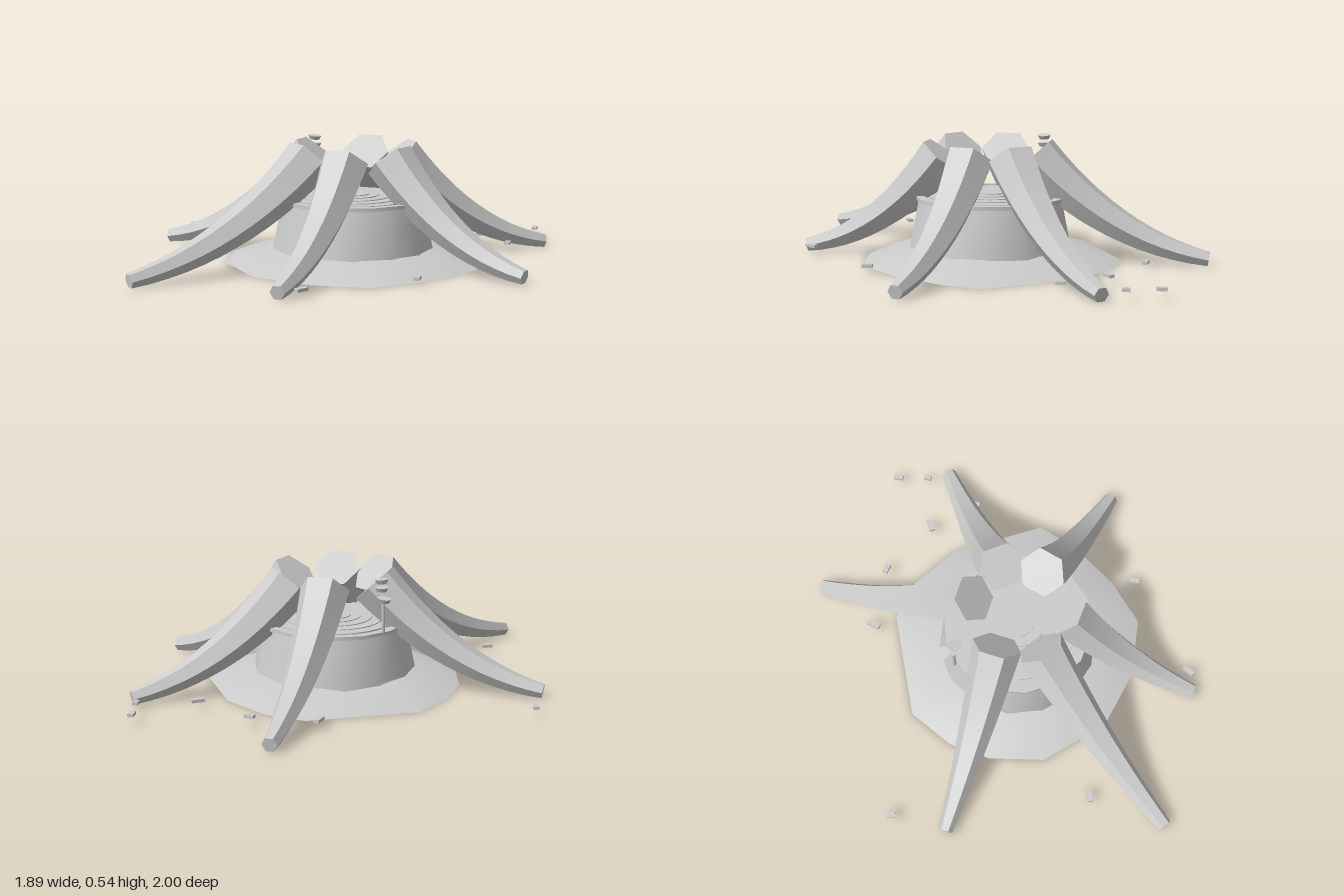
import * as THREE from 'three';
import { toCreasedNormals } from 'three/addons/utils/BufferGeometryUtils.js';

const V = (x, y, z) => new THREE.Vector3(x, y, z);
const HUB_X = 0.065, HUB_Z = -0.03;

// Closed solid through a list of equally sized rings, with end caps
function loft(rings, crease = 0.6) {
  const pos = [];
  const tri = (...pts) => pts.forEach(p => pos.push(p.x, p.y, p.z));
  const n = rings[0].length;
  for (let j = 0; j < rings.length - 1; j++) {
    for (let i = 0; i < n; i++) {
      const k = (i + 1) % n, lo = rings[j], hi = rings[j + 1];
      tri(lo[i], hi[i], lo[k]);
      tri(lo[k], hi[i], hi[k]);
    }
  }
  const mid = r => r.reduce((s, p) => s.add(p), V(0, 0, 0)).divideScalar(n);
  const first = rings[0], last = rings[rings.length - 1];
  const c0 = mid(first), c1 = mid(last);
  for (let i = 0; i < n; i++) {
    const k = (i + 1) % n;
    tri(c0, first[i], first[k]);
    tri(c1, last[k], last[i]);
  }
  const g = new THREE.BufferGeometry();
  g.setAttribute('position', new THREE.Float32BufferAttribute(pos, 3));
  return toCreasedNormals(g, crease);
}

// Six-sided tapering leg that arcs from a raised cap down to a tip on the ground
function legGeometry(x0, z0, x1, z1) {
  const start = V(x0, 0.465, z0), end = V(x1, 0.031, z1);
  const control = start.clone().lerp(end, 0.45).setY(0.1);
  const curve = new THREE.QuadraticBezierCurve3(start, control, end);
  const side = V(-(z1 - z0), 0, x1 - x0).normalize();
  const rings = [], steps = 12;
  for (let j = 0; j <= steps; j++) {
    const t = j / steps, p = curve.getPoint(t), dir = curve.getTangent(t);
    const up = side.clone().cross(dir);
    const r = THREE.MathUtils.lerp(0.11, 0.033, t);
    rings.push(Array.from({ length: 6 }, (_, i) => {
      const a = i * Math.PI / 3;
      return p.clone().addScaledVector(side, r * Math.cos(a)).addScaledVector(up, r * Math.sin(a));
    }));
  }
  return loft(rings);
}

export function createModel() {
  const model = new THREE.Group();
  const grey = new THREE.MeshStandardMaterial({ color: 0xcccccc });
  grey.name = 'stone grey';
  const add = (name, geometry, x = 0, y = 0, z = 0) => {
    const m = new THREE.Mesh(geometry, grey);
    m.name = name;
    m.position.set(x, y, z);
    model.add(m);
    return m;
  };

  // Irregular sloping skirt on the ground
  const outline = [
    [-0.485, -0.25], [-0.13, -0.585], [0.06, -0.605], [0.295, -0.54], [0.63, -0.26],
    [0.63, -0.075], [0.57, 0.18], [0.47, 0.385], [0.23, 0.5], [-0.05, 0.52],
    [-0.34, 0.375], [-0.47, 0.16], [-0.51, -0.025],
  ];
  const outer = outline.map(([x, z]) => V(x, 0, z));
  const inner = outer.map(p => {
    const d = V(p.x - HUB_X, 0, p.z - HUB_Z).setLength(0.36);
    return V(HUB_X + d.x, 0.065, HUB_Z + d.z);
  });
  add('skirt', loft([outer, inner], 0.5));

  // Tapered drum
  const circle = (r, y) => Array.from({ length: 14 }, (_, i) => {
    const a = i * Math.PI / 7;
    return V(r * Math.cos(a), y, r * Math.sin(a));
  });
  add('drum', loft([circle(0.365, 0.05), circle(0.32, 0.278)]), HUB_X, 0, HUB_Z);

  // Thin rim and low concentric steps on the drum top
  const rim = [[0.3, 0.27], [0.335, 0.27], [0.335, 0.286], [0.3, 0.286], [0.3, 0.27]]
    .map(([r, y]) => new THREE.Vector2(r, y));
  add('rim', toCreasedNormals(new THREE.LatheGeometry(rim, 14), 0.6), HUB_X, 0, HUB_Z);
  [0.27, 0.22, 0.17, 0.12, 0.075].forEach((r, i) => {
    const g = new THREE.CylinderGeometry(r, r, 0.006, 28);
    add('topStep', g, HUB_X, 0.281 + i * 0.004, HUB_Z);
  });

  // Legs: cap x, z and tip x, z
  [
    [0.265, -0.03, 0.935, -0.05],
    [0.19, -0.195, 0.62, -0.785],
    [0.0, -0.215, -0.2, -0.955],
    [-0.13, -0.01, -0.86, 0.185],
    [-0.035, 0.155, -0.31, 0.99],
    [0.16, 0.155, 0.3, 0.78],
  ].forEach(p => add('leg', legGeometry(...p)));

  // Small floating discs beside the left leg
  [[-0.245, 0.515, -0.15], [-0.245, 0.48, -0.15], [-0.28, 0.445, -0.19]].forEach(([x, y, z], i) => {
    const disc = add('disc', new THREE.CylinderGeometry(0.031, 0.022, 0.018, 8), x, y, z);
    disc.rotation.z = (i - 1) * 0.12;
  });
  add('stalk', new THREE.CylinderGeometry(0.008, 0.008, 0.13, 6), -0.255, 0.36, -0.155);

  // Loose chips around the base: x, z, length, direction of the long side
  [
    [-0.93, -0.055, 0.036, 0.5, 0.85], [-0.38, 0.64, 0.05, 1, -1],
    [0.37, 0.715, 0.055, -0.15, 1], [0.62, 0.27, 0.045, 0.4, 0.9],
    [0.335, -0.7, 0.055, 0.7, -0.9], [0.465, -0.975, 0.042, 0.35, 0.9],
    [0.54, -0.855, 0.033, 0.3, 0.9], [0.035, -0.75, 0.042, 1, -0.15],
    [-0.23, -0.64, 0.06, 0.15, 1], [0.545, -0.58, 0.04, 0.3, 0.9],
  ].forEach(([x, z, length, dx, dz]) => {
    const chip = add('chip', new THREE.BoxGeometry(0.024, 0.014, length), x, 0.043, z);
    chip.rotation.y = Math.atan2(dx, dz);
  });

  return model;
}
